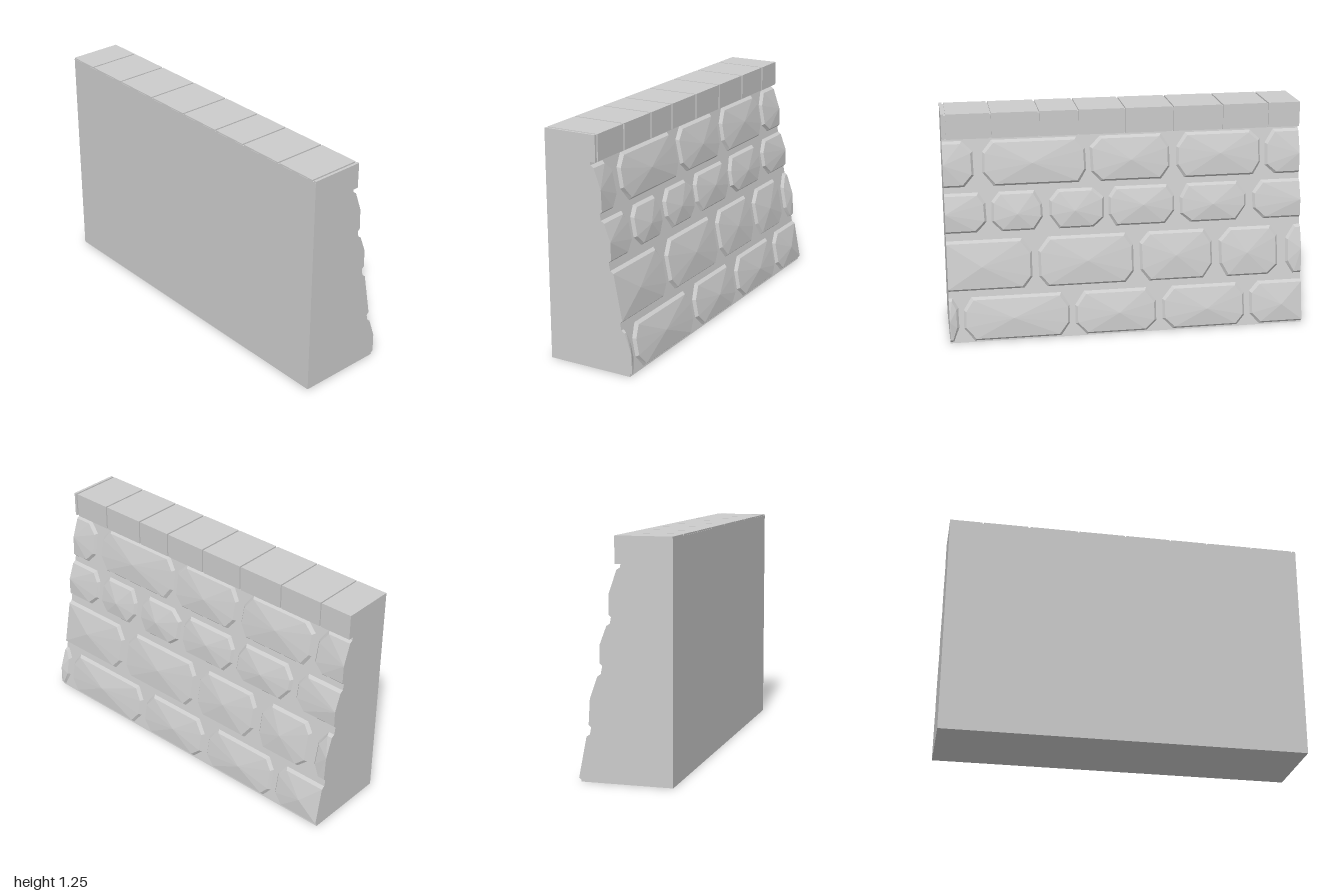
import * as THREE from 'three';

const material = new THREE.MeshStandardMaterial({ color: 0xcccccc, flatShading: true });

// Slope of the mortar face: x position at height y
const faceX = (y) => 0.235 - 0.195 * y;

// Small seeded jitter in the range -1..1
let seed = 7;
const jitter = () => {
  seed = (seed * 16807) % 2147483647;
  return (seed / 2147483647) * 2 - 1;
};

// Courses of facing stones: bottom, top, then [from, to] pairs along the wall
// measured as u = -z
const courses = [
  { y0: 0.005, y1: 0.25, spans: [[-1, -0.945], [-0.925, -0.33], [-0.305, 0.16], [0.19, 0.67], [0.695, 1]] },
  { y0: 0.28, y1: 0.56, spans: [[-1, -0.53], [-0.5, 0.04], [0.07, 0.49], [0.525, 0.87], [0.91, 1]] },
  { y0: 0.595, y1: 0.817, spans: [[-1, -0.77], [-0.75, -0.46], [-0.43, -0.12], [-0.1, 0.28], [0.305, 0.69], [0.725, 1]] },
  { y0: 0.843, y1: 1.097, spans: [[-1, -0.83], [-0.79, -0.21], [-0.19, 0.26], [0.29, 0.78], [0.8, 1]] },
];

// One stone: chamfered outline, bevelled rim and a shallow faceted dome.
// Stones that meet a wall end are cut off flat there.
function stoneGeometry(u0, u1, y0, y1) {
  const cutL = u0 === -1, cutR = u1 === 1;
  const width = u1 - u0;
  const cu = () => Math.min(0.05 + 0.012 * jitter(), width * 0.6);
  const cy = () => 0.065 + 0.015 * jitter();
  const outline = [];
  if (cutL) outline.push([u0, y0]);
  else outline.push([u0, y0 + cy()], [u0 + cu(), y0]);
  if (cutR) outline.push([u1, y0], [u1, y1]);
  else outline.push([u1 - cu(), y0], [u1, y0 + cy()], [u1 + 0.004 * jitter(), y1 - cy()], [u1 - cu(), y1]);
  if (cutL) outline.push([u0, y1]);
  else outline.push([u0 + cu(), y1], [u0 + 0.004 * jitter(), y1 - cy()]);

  // Dome apex, on the cut itself for narrow end pieces
  let au = (u0 + u1) / 2 + 0.02 * jitter();
  if (cutL) au = width < 0.3 ? u0 : u0 + width * 0.4;
  if (cutR) au = width < 0.3 ? u1 : u1 - width * 0.4;
  const ay = (y0 + y1) / 2 + 0.01 * jitter();

  // Inset the rim, except along a cut end
  const inset = 0.016;
  const midU = (u0 + u1) / 2, halfU = width / 2, midY = (y0 + y1) / 2, halfY = (y1 - y0) / 2;
  const rim = outline.map(([u, y]) => {
    const onCut = (cutL && u === u0) || (cutR && u === u1);
    const anchor = cutL ? u0 : cutR ? u1 : midU;
    const reach = cutL || cutR ? width : halfU;
    return [onCut ? u : anchor + (u - anchor) * (1 - inset / reach), midY + (y - midY) * (1 - inset / halfY)];
  });

  const positions = [];
  const add = ([u, y], out) => positions.push(faceX(y) + out, y, -u);
  const n = outline.length;
  for (let i = 0; i < n; i++) {
    const j = (i + 1) % n;
    add(outline[i], -0.004); add(outline[j], -0.004); add(rim[j], 0.016);
    add(outline[i], -0.004); add(rim[j], 0.016); add(rim[i], 0.016);
    add(rim[i], 0.016); add(rim[j], 0.016); add([au, ay], 0.034);
  }
  const geometry = new THREE.BufferGeometry();
  geometry.setAttribute('position', new THREE.Float32BufferAttribute(positions, 3));
  geometry.computeVertexNormals();
  return geometry;
}

export function createModel() {
  const model = new THREE.Group();
  model.name = 'stoneRetainingWall';

  // Solid core with battered front and the recessed bed behind the coping joints
  const profile = new THREE.Shape([
    [-0.25, 0], [faceX(0), 0], [faceX(1.11), 1.11], [0.042, 1.113], [0.042, 1.242], [-0.25, 1.242],
  ].map(([x, y]) => new THREE.Vector2(x, y)));
  const coreGeometry = new THREE.ExtrudeGeometry(profile, { depth: 2, bevelEnabled: false });
  coreGeometry.translate(0, 0, -1);
  const core = new THREE.Mesh(coreGeometry, material);
  core.name = 'wallCore';
  model.add(core);

  // Facing stones
  const stones = new THREE.Group();
  stones.name = 'facingStones';
  for (const { y0, y1, spans } of courses) {
    for (const [u0, u1] of spans) {
      const stone = new THREE.Mesh(stoneGeometry(u0, u1, y0, y1), material);
      stone.name = 'facingStone';
      stones.add(stone);
    }
  }
  model.add(stones);

  // Coping blocks separated by narrow joints
  const coping = new THREE.Group();
  coping.name = 'coping';
  const joints = [-1, -0.815, -0.555, -0.275, -0.005, 0.255, 0.472, 0.735, 0.98, 1];
  const gap = 0.005;
  for (let i = 0; i < joints.length - 1; i++) {
    const z0 = joints[i] + (i === 0 ? 0 : gap);
    const z1 = joints[i + 1] - (i === joints.length - 2 ? 0 : gap);
    const block = new THREE.Mesh(new THREE.BoxGeometry(0.299, 0.14, z1 - z0), material);
    block.position.set(-0.0995, 1.18, (z0 + z1) / 2);
    block.name = 'copingBlock';
    coping.add(block);
  }
  model.add(coping);

  return model;
}
